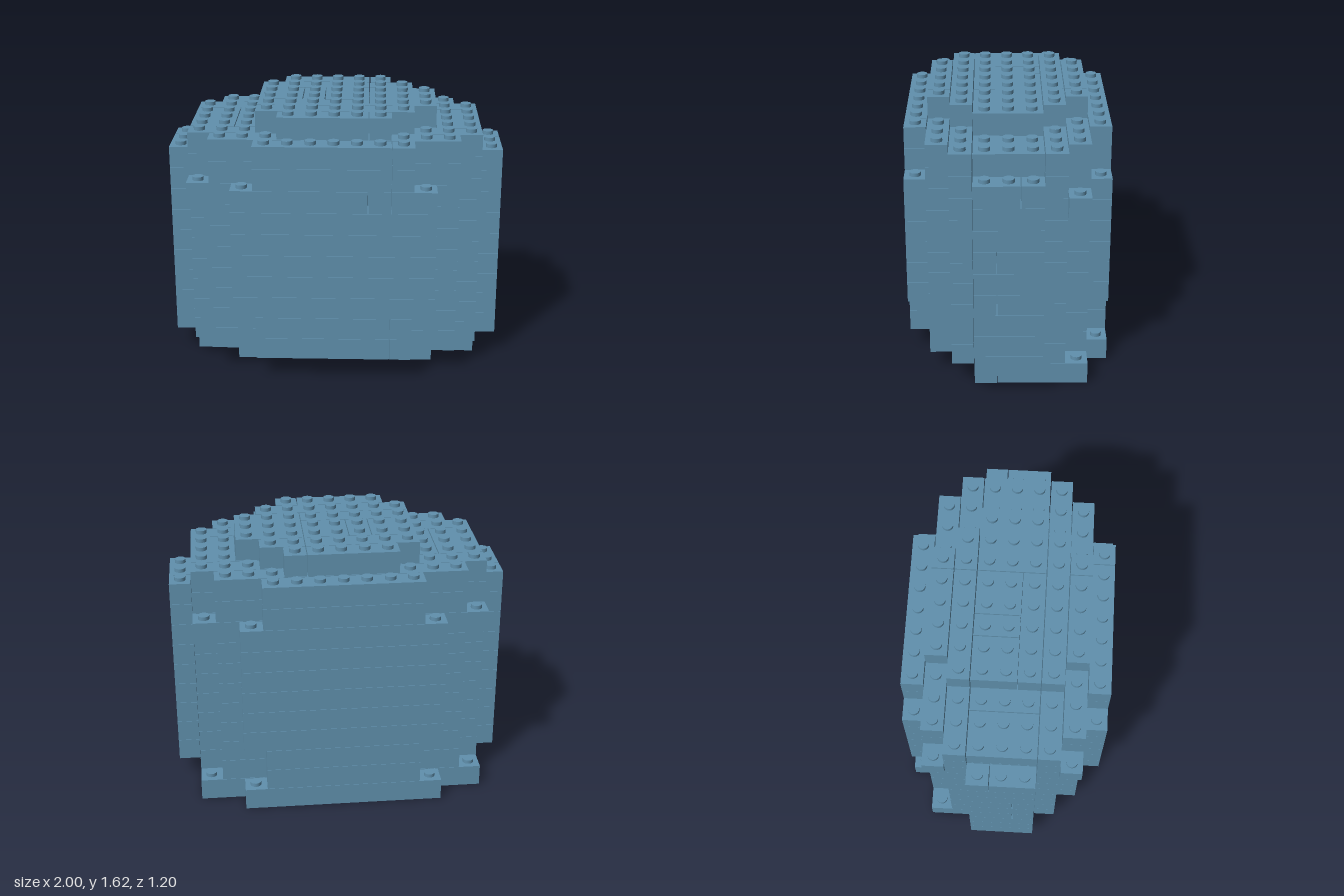
import * as THREE from 'three';

const U = 2 / 15;            // brick grid pitch, also the layer height
const COLS = 15, ROWS = 9;
const GAP_XZ = 0.005, GAP_Y = 0.002;
const STUD_R = 0.033, STUD_H = 0.0225;

// Bricks of one layer as [firstCol, lastCol, firstRow, lastRow]; columns run along x, rows along z.
function layerBricks(n) {
  // base plate layer
  if (n === 0) return [
    [3, 11, 0, 0], [1, 7, 1, 4], [8, 13, 1, 4], [1, 13, 5, 5], [3, 10, 6, 6], [11, 11, 6, 6],
  ];
  // raised lid
  if (n === 11) return [
    [5, 8, 1, 1], [9, 9, 1, 1], [4, 8, 2, 2], [9, 10, 2, 2],
    [4, 5, 3, 4], [6, 6, 3, 4], [7, 8, 3, 4], [4, 8, 5, 5], [9, 11, 3, 5],
    [4, 10, 6, 6], [5, 8, 7, 7], [9, 9, 7, 7],
  ];
  const bricks = [];
  const wide = n >= 3 && n <= 8;
  // front and back faces, with corner bricks on the middle layers
  for (const r of [0, 8]) {
    if (n === 8 && r === 8) bricks.push([3, 8, r, r], [9, 9, r, r], [10, 11, r, r]);
    else if (wide) bricks.push([3, 11, r, r]);
    else if (r === 8) bricks.push([4, 9, r, r], [10, 10, r, r]);
    else bricks.push([4, 10, r, r]);
  }
  // stepped corners, with single overhanging bricks on layer 8
  bricks.push(n === 8 ? [1, 13, 1, 1] : [2, 12, 1, 1]);
  bricks.push(n === 8 ? [1, 12, 7, 7] : [2, 12, 7, 7]);
  bricks.push([1, 13, 2, 2], [1, 13, 6, 6]);
  // core and end walls
  if (n === 10) {
    bricks.push([1, 2, 3, 5], [3, 11, 3, 5], [12, 13, 3, 5]);
  } else {
    bricks.push([1, 13, 3, 5]);
    const split = n === 9 ? 3 : n === 4 || n === 6 ? 4 : 5;
    for (const c of [0, 14]) {
      bricks.push([c, c, 3, split]);
      if (split < 5) bricks.push([c, c, split + 1, 5]);
    }
  }
  return bricks;
}

export function createModel() {
  const model = new THREE.Group();
  model.name = 'brickBlock';
  const blue = new THREE.MeshStandardMaterial({ color: 0x6090ad });
  blue.name = 'sand blue';
  const studGeometry = new THREE.CylinderGeometry(STUD_R, STUD_R, STUD_H, 20);

  const layers = [];
  for (let n = 0; n < 12; n++) layers.push(layerBricks(n));
  const covered = (n, c, r) =>
    n < 12 && layers[n].some(([a, b, d, e]) => c >= a && c <= b && r >= d && r <= e);

  layers.forEach((bricks, n) => {
    const layer = new THREE.Group();
    layer.name = `layer${n + 1}`;
    model.add(layer);
    for (const [c0, c1, r0, r1] of bricks) {
      // brick body
      const w = (c1 - c0 + 1) * U, d = (r1 - r0 + 1) * U;
      const brick = new THREE.Mesh(
        new THREE.BoxGeometry(w - GAP_XZ, U - GAP_Y, d - GAP_XZ), blue);
      brick.name = 'brick';
      brick.position.set((c0 + c1 + 1 - COLS) * U / 2, (n + 0.5) * U, (r0 + r1 + 1 - ROWS) * U / 2);
      layer.add(brick);
      // studs wherever nothing sits on top
      for (let c = c0; c <= c1; c++) {
        for (let r = r0; r <= r1; r++) {
          if (covered(n + 1, c, r)) continue;
          const stud = new THREE.Mesh(studGeometry, blue);
          stud.name = 'stud';
          stud.position.set((c + 0.5 - COLS / 2) * U, (n + 1) * U + STUD_H / 2 - GAP_Y / 2, (r + 0.5 - ROWS / 2) * U);
          layer.add(stud);
        }
      }
    }
  });
  return model;
}
